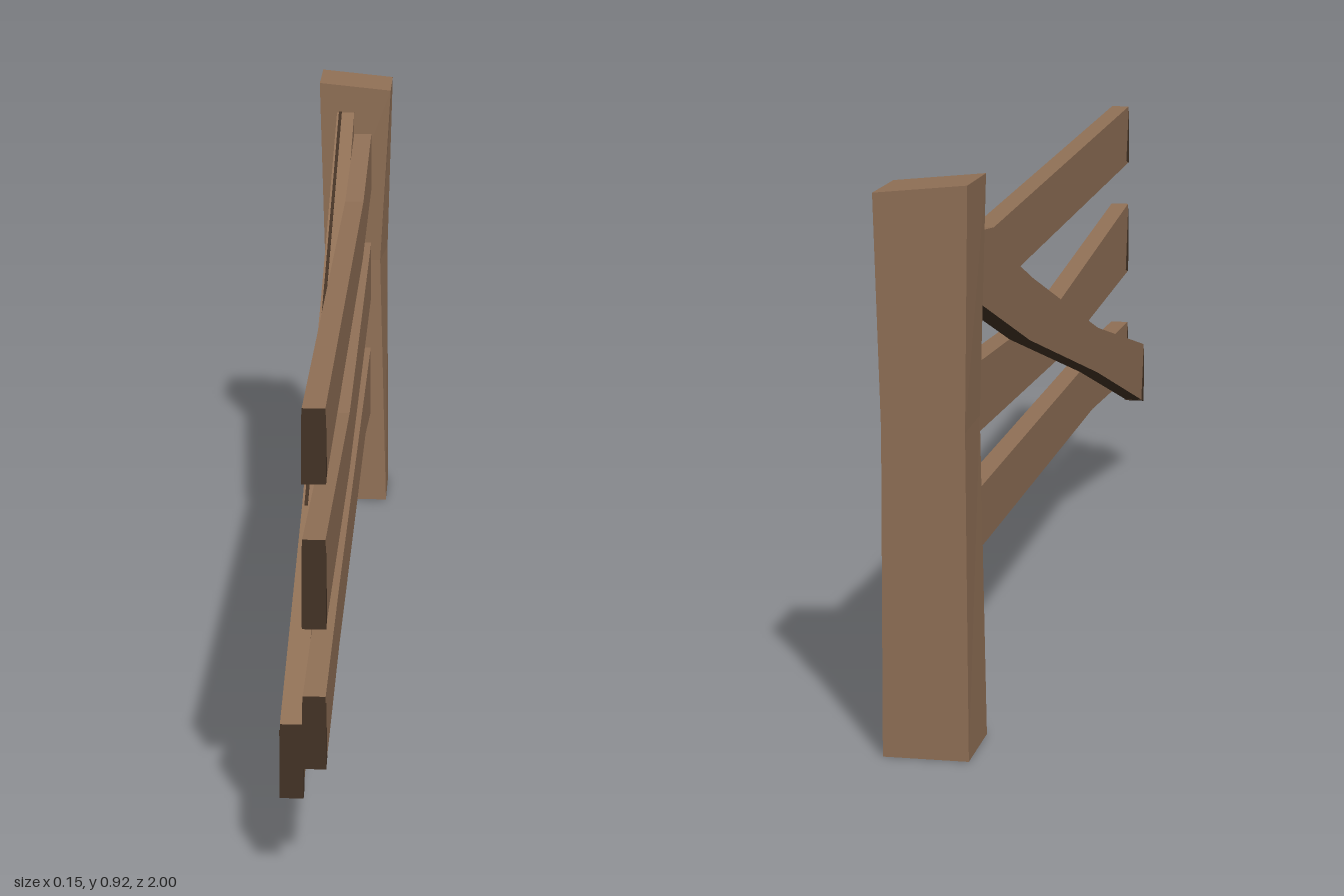
import * as THREE from 'three';

function material(name, color) {
  const m = new THREE.MeshStandardMaterial({ color, flatShading: true });
  m.name = name;
  return m;
}
const wood = material('brown wood', 0x907056);
const darkWood = material('dark end grain', 0x443325);

// Mesh whose undersides and front ends are dark end grain, the rest brown wood
function woodMesh(name, geometry) {
  geometry.computeVertexNormals();
  geometry.clearGroups();
  const n = geometry.attributes.normal;
  for (let i = 0; i < n.count; i += 3) {
    const dark = n.getY(i) < -0.8 || (name !== 'post' && n.getZ(i) > 0.9);
    geometry.addGroup(i, 3, dark ? 1 : 0);
  }
  const mesh = new THREE.Mesh(geometry, [wood, darkWood]);
  mesh.name = name;
  return mesh;
}

// Side-plane outline of [z, y] points, extruded across x
function extrudeAcross(points, xLeft, width) {
  const shape = new THREE.Shape(points.map(([z, y]) => new THREE.Vector2(z, y)));
  const geometry = new THREE.ExtrudeGeometry(shape, { depth: width, bevelEnabled: false });
  geometry.rotateY(-Math.PI / 2);
  geometry.translate(xLeft, 0, 0);
  return geometry;
}

// Plank given by its upper and lower edges from front to back, with a worn front corner
function plank(name, upper, lower, xLeft, width) {
  const group = new THREE.Group();
  group.name = name;
  group.add(woodMesh(name + 'Board', extrudeAcross([...upper, ...lower.slice().reverse()], xLeft, width)));

  const top = upper[0][1], bottom = lower[0][1];
  const chip = extrudeAcross([[1, top - 0.01], [0.972, bottom + 0.008], [1, bottom]], xLeft + 0.001, width + 0.002);
  const worn = new THREE.Mesh(chip, darkWood);
  worn.name = name + 'WornEnd';
  group.add(worn);
  return group;
}

// Squared post with a sloping top, pinched mostly at its front left corner
function makePost() {
  // Corners as [x, z]: front right, front left, back right, back left
  const levels = [
    { y: 0, slope: 0, corners: [[-0.071, -0.85], [0.068, -0.85], [-0.071, -0.99], [0.068, -0.99]] },
    { y: 0.53, slope: 0, corners: [[-0.064, -0.862], [0.052, -0.88], [-0.068, -0.992], [0.064, -0.995]] },
    { y: 0.908, slope: -0.1, corners: [[-0.075, -0.86], [0.073, -0.86], [-0.075, -1], [0.073, -1]] },
  ];
  const box = new THREE.BoxGeometry(2, 2, 2, 1, 2, 1);
  const p = box.attributes.position;
  for (let i = 0; i < p.count; i++) {
    const level = levels[Math.round(p.getY(i)) + 1];
    const [x, z] = level.corners[(p.getZ(i) > 0 ? 0 : 2) + (p.getX(i) > 0 ? 1 : 0)];
    p.setXYZ(i, x, level.y + x * level.slope, z);
  }
  return woodMesh('post', box.toNonIndexed());
}

export function createModel() {
  const fence = new THREE.Group();
  fence.name = 'fence';
  fence.add(makePost());

  // Three horizontal rails on the left face
  fence.add(plank('topRail',
    [[1, 0.805], [-0.45, 0.765], [-0.885, 0.81]],
    [[1, 0.683], [-0.42, 0.655], [-0.885, 0.687]], 0.033, 0.036));
  fence.add(plank('middleRail',
    [[1, 0.593], [0.16, 0.525], [-0.885, 0.57]],
    [[1, 0.445], [0.16, 0.416], [-0.885, 0.446]], 0.033, 0.036));
  fence.add(plank('bottomRail',
    [[1, 0.332], [0.55, 0.343], [-0.885, 0.338]],
    [[1, 0.208], [0.55, 0.234], [-0.6, 0.234], [-0.885, 0.188]], 0.033, 0.036));

  // Diagonal brace on the right
  const upper = [[1, 0.284], [0.4, 0.433], [-0.29, 0.652], [-0.885, 0.862]];
  fence.add(plank('brace', upper,
    [[1, 0.157], [0.4, 0.342], [-0.315, 0.545], [-0.885, 0.735]], -0.003, 0.036));

  // Dark worn streak along the upper part of the brace's top edge
  const streakTop = upper.slice(1).map(([z, y]) => [z, y + 0.002]);
  const streakBottom = upper.slice(1).map(([z, y]) => [z, y - 0.004]).reverse();
  const streak = new THREE.Mesh(extrudeAcross([...streakTop, ...streakBottom], -0.029, 0.006), darkWood);
  streak.name = 'braceWornStreak';
  fence.add(streak);
  return fence;
}
